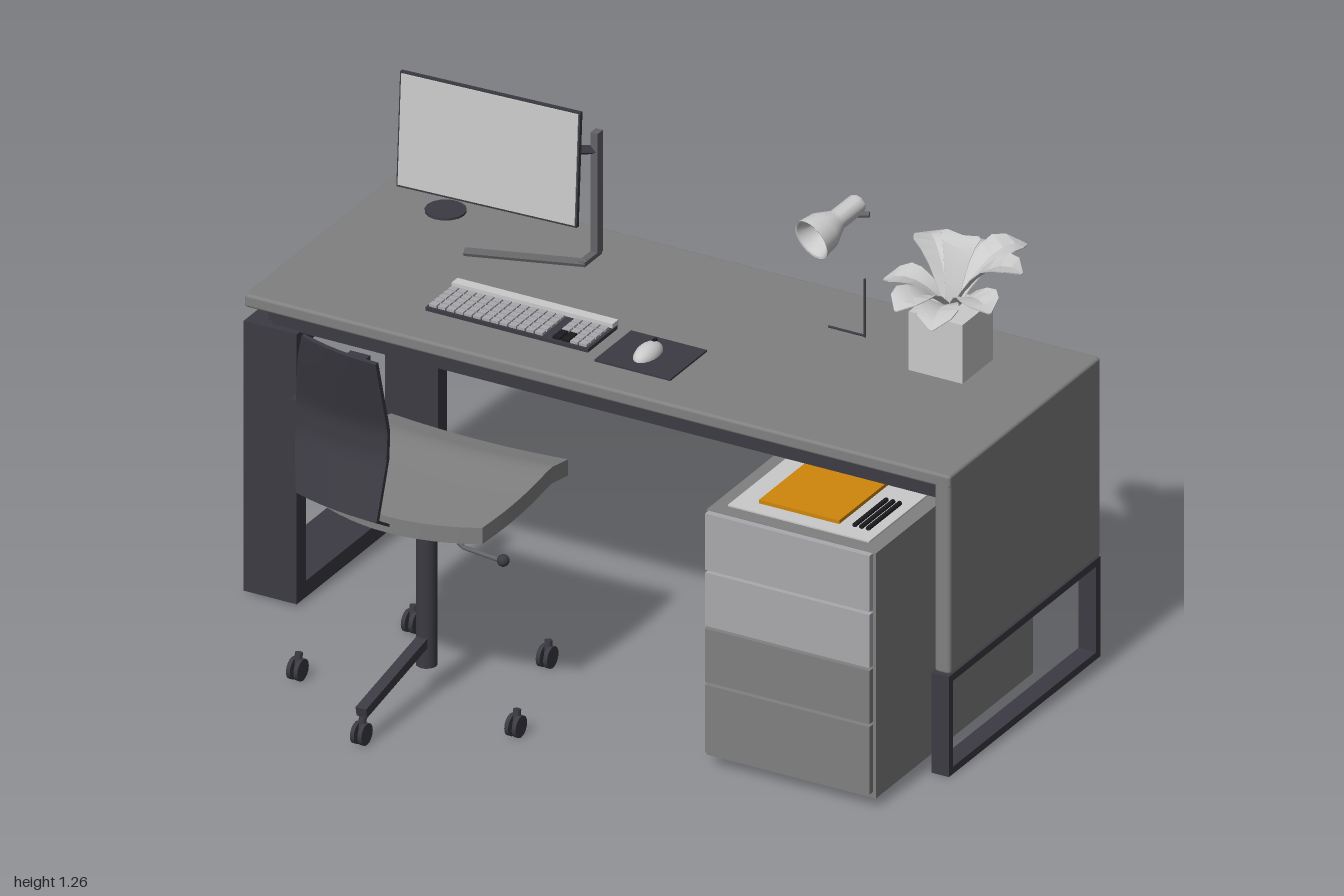
import * as THREE from 'three';
import { toCreasedNormals } from 'three/addons/utils/BufferGeometryUtils.js';
import { RoundedBoxGeometry } from 'three/addons/geometries/RoundedBoxGeometry.js';

const V = (x, y, z) => new THREE.Vector3(x, y, z);

export function createModel() {
  const root = new THREE.Group();
  const material = (name, color) =>
    Object.assign(new THREE.MeshStandardMaterial({ color, side: THREE.DoubleSide }), { name });
  const grey = material('mid grey', 0x808080);
  const dark = material('charcoal', 0x3c3b43);
  const light = material('light grey', 0xcacaca);
  const silver = material('drawer silver', 0xa9a8ac);
  const orange = material('folder orange', 0xcf860c);
  const black = material('black', 0x1c1c20);
  const steel = material('steel', 0x646468);

  const add = (name, geometry, mat) => {
    const mesh = new THREE.Mesh(geometry, mat);
    mesh.name = name;
    root.add(mesh);
    return mesh;
  };
  // Box from its minimum and maximum on each axis
  const box = (name, mat, x0, x1, y0, y1, z0, z1) => {
    const m = add(name, new THREE.BoxGeometry(x1 - x0, y1 - y0, z1 - z0), mat);
    m.position.set((x0 + x1) / 2, (y0 + y1) / 2, (z0 + z1) / 2);
    return m;
  };
  // Box bar or round rod between two points
  const aim = (m, a, b) => {
    m.position.copy(a).lerp(b, 0.5);
    m.quaternion.setFromUnitVectors(V(0, 1, 0), b.clone().sub(a).normalize());
    return m;
  };
  const bar = (name, mat, a, b, w, d) => aim(add(name, new THREE.BoxGeometry(w, a.distanceTo(b), d), mat), a, b);
  const rod = (name, mat, a, b, r0, r1 = r0) =>
    aim(add(name, new THREE.CylinderGeometry(r1, r0, a.distanceTo(b), 16), mat), a, b);
  // Rectangular ring lying in the z-y plane, extruded along x
  const ring = (name, x0, x1, y0, y1, z0, z1, t) => {
    const rect = (P, i) => new P().moveTo(-z0 - i, y0 + i).lineTo(-z1 + i, y0 + i)
      .lineTo(-z1 + i, y1 - i).lineTo(-z0 - i, y1 - i).closePath();
    const shape = rect(THREE.Shape, 0);
    shape.holes.push(rect(THREE.Path, t));
    const g = new THREE.ExtrudeGeometry(shape, { depth: x1 - x0, bevelEnabled: false });
    add(name, g.rotateY(Math.PI / 2).translate(x0, 0, 0), dark);
  };
  // Closed slab lofted from a surface rule and a thickness vector
  const slab = (name, mat, nu, nv, rule, off, crease = 0.7) => {
    const pos = [], idx = [], n = 2 * (nu + 1);
    for (let j = 0; j <= nv; j++) {
      for (let i = 0; i < n; i++) {
        const top = i <= nu;
        const p = rule((top ? i : n - 1 - i) / nu, j / nv);
        if (!top) p.add(off);
        pos.push(p.x, p.y, p.z);
        const a = j * n + i, b = j * n + (i + 1) % n;
        if (j < nv) idx.push(a, b, a + n, b, b + n, a + n);
      }
    }
    for (const e of [0, nv * n]) for (let i = 0; i < nu; i++) {
      const a = e + i, b = e + i + 1, c = e + n - 1 - i, d = e + n - 2 - i;
      if (e) idx.push(a, b, c, b, d, c); else idx.push(a, c, b, b, c, d);
    }
    const g = new THREE.BufferGeometry();
    g.setAttribute('position', new THREE.Float32BufferAttribute(pos, 3));
    g.setIndex(idx);
    return add(name, toCreasedNormals(g, crease), mat);
  };
  // Linear interpolation through [key, value] pairs
  const along = (pts, t) => {
    let i = 0;
    while (i < pts.length - 2 && t > pts[i + 1][0]) i++;
    const [a, b] = [pts[i], pts[i + 1]];
    return THREE.MathUtils.mapLinear(t, a[0], b[0], a[1], b[1]);
  };

  // Desk: top, waterfall side, rails and legs
  const top = add('deskTop', new RoundedBoxGeometry(2, 0.036, 0.75, 3, 0.008), grey);
  top.position.set(0, 0.812, -0.3);
  const side = add('deskSide', new RoundedBoxGeometry(0.045, 0.55, 0.75, 3, 0.01), grey);
  side.position.set(0.9775, 0.555, -0.3);
  for (const z of [-0.65, 0.02]) box('deskRail', dark, -0.93, 0.955, 0.752, 0.794, z, z + 0.035);
  box('crossRail', dark, -0.95, -0.88, 0.752, 0.794, -0.64, 0.04);
  ring('leftLeg', -1, -0.85, 0.01, 0.756, -0.672, 0.075, 0.045);
  ring('rightLeg', 0.95, 1, 0.003, 0.28, -0.672, 0.08, 0.02);
  rod('cableGrommet', dark, V(-0.79, 0.785, -0.56), V(-0.79, 0.836, -0.56), 0.052);

  // Drawer cabinet
  box('cabinetBase', grey, 0.47, 0.9, 0.015, 0.03, -0.47, 0.28);
  box('cabinetBody', grey, 0.445, 0.925, 0.028, 0.705, -0.47, 0.312);
  const fronts = [0.04, 0.235, 0.39, 0.545, 0.708];
  for (let i = 0; i < 4; i++)
    box('drawerFront', i < 2 ? grey : silver, 0.452, 0.917, fronts[i] + 0.004, fronts[i + 1] - 0.004, 0.312, 0.33);
  box('cabinetTray', light, 0.482, 0.882, 0.704, 0.709, -0.43, 0.27);
  box('folder', orange, 0.545, 0.772, 0.709, 0.719, -0.08, 0.225);
  for (let i = 0; i < 3; i++)
    rod('pen', black, V(0.812 + i * 0.019, 0.714, 0.06), V(0.812 + i * 0.019, 0.714, 0.22), 0.006);

  // Chair castors on a five-point circle, one spoke, column and lever
  const cx = -0.345, cz = 0.315;
  for (let i = 0; i < 5; i++) {
    const a = Math.PI / 2 + i * Math.PI * 0.4;
    const x = cx + 0.325 * Math.cos(a), z = cz + 0.325 * Math.sin(a);
    for (const s of [-1, 1])
      rod('castorWheel', dark, V(x + s * 0.005, 0.033, z), V(x + s * 0.016, 0.033, z), 0.029);
    rod('castorStem', dark, V(x, 0.03, z), V(x, 0.075, z - 0.008), 0.01);
  }
  bar('chairSpoke', dark, V(cx, 0.09, 0.64), V(cx, 0.155, cz), 0.03, 0.026);
  rod('chairColumn', dark, V(cx, 0.08, cz), V(cx, 0.44, cz), 0.027);
  rod('chairPiston', steel, V(cx, 0.43, cz), V(cx, 0.55, cz), 0.016);
  bar('seatBracket', dark, V(-0.54, 0.53, 0.32), V(-0.33, 0.455, 0.31), 0.02, 0.05);
  rod('lever', steel, V(-0.32, 0.475, 0.3), V(-0.25, 0.42, 0.3), 0.006);
  rod('lever', steel, V(-0.25, 0.42, 0.3), V(-0.14, 0.41, 0.3), 0.006);
  add('leverKnob', new THREE.SphereGeometry(0.016, 12, 8), dark).position.set(-0.137, 0.412, 0.3);

  // Seat cushion
  const seatY = [[0.04, 0.575], [0.14, 0.598], [0.28, 0.585], [0.4, 0.575], [0.5, 0.568]];
  slab('seat', grey, 12, 14, (u, v) => {
    const s = 2 * u - 1;
    const z = 0.04 + v * (0.46 - 0.04 * s * s);
    const w = 0.25 + 0.012 * Math.sin(v * Math.PI) - 0.03 * Math.max(0, v - 0.75) * 4 * (s < 0 ? 1 : 0.1);
    return V(-0.352 + s * w, along(seatY, z) + 0.01 * s * s, z);
  }, V(0, -0.045, 0), 1);

  // Half-width backrest with a curved lower lip
  const backZ = [[0, 0.48], [0.1, 0.565], [0.4, 0.515], [0.56, 0.51], [1, 0.57]];
  const backW = [[0, 0.245], [0.35, 0.28], [0.56, 0.285], [0.85, 0.258], [1, 0.235]];
  const backY = [[0, 0.528], [0.1, 0.58], [1, 1.02]];
  slab('backrest', dark, 6, 20, (u, v) =>
    V(cx - u * along(backW, v), along(backY, v), along(backZ, v) - 0.045 * u * u), V(0, 0, -0.014));

  // Armrest
  box('armPad', dark, -0.663, -0.607, 0.772, 0.786, 0.135, 0.435);
  bar('armSupport', dark, V(-0.635, 0.655, 0.335), V(-0.635, 0.775, 0.305), 0.022, 0.075);

  // Monitor with its stand
  const screen = new THREE.Group();
  screen.name = 'monitor';
  screen.position.set(-0.592, 1.11, -0.43);
  screen.rotation.set(-0.06, 0.05, 0);
  const shell = box('monitorShell', dark, -0.2485, 0.2485, -0.155, 0.155, -0.006, 0.006);
  const face = box('monitorFace', light, -0.244, 0.244, -0.149, 0.151, 0.006, 0.009);
  const rear = box('monitorRear', light, -0.246, 0.246, -0.152, 0.152, -0.009, -0.006);
  screen.add(shell, face, rear);
  root.add(screen);
  box('standPost', steel, -0.362, -0.342, 0.835, 1.17, -0.555, -0.528);
  bar('standArm', dark, V(-0.352, 1.12, -0.54), V(-0.43, 1.14, -0.445), 0.014, 0.02);
  bar('standFoot', steel, V(-0.345, 0.836, -0.475), V(-0.635, 0.836, -0.38), 0.012, 0.022);
  bar('standFoot', steel, V(-0.352, 0.836, -0.55), V(-0.352, 0.836, -0.465), 0.02, 0.012);

  // Keyboard, mouse pad and mouse
  box('keyboardBody', dark, -0.567, -0.107, 0.83, 0.84, -0.215, -0.068);
  box('keyboardLip', light, -0.565, -0.109, 0.835, 0.852, -0.224, -0.195);
  for (let r = 0; r < 5; r++) for (let c = 0; c < 18; c++) {
    if (c === 13) continue;
    const x = -0.561 + c * 0.025, z = -0.188 + r * 0.0235;
    box('key', c > 13 && c < 16 && r > 2 ? black : silver, x, x + 0.021, 0.84, 0.847, z, z + 0.019);
  }
  box('mousePad', dark, -0.07, 0.145, 0.829, 0.835, -0.218, -0.035);
  const mouse = add('mouse', new THREE.SphereGeometry(1, 20, 10, 0, Math.PI * 2, 0, Math.PI / 2), light);
  mouse.scale.set(0.03, 0.029, 0.055);
  mouse.position.set(0.03, 0.834, -0.127);
  box('mouseWheel', black, 0.026, 0.034, 0.85, 0.862, -0.168, -0.15);

  // Desk lamp: thin pole, foot and bell shade
  rod('lampPole', dark, V(0.443, 0.83, -0.48), V(0.443, 0.99, -0.48), 0.003);
  rod('lampFoot', dark, V(0.443, 0.833, -0.48), V(0.34, 0.833, -0.48), 0.003);
  const bell = [[0, 0.17], [0.022, 0.17], [0.027, 0.16], [0.027, 0.09], [0.035, 0.075], [0.05, 0.045], [0.056, 0], [0.051, 0.002], [0.03, 0.07], [0, 0.075]];
  const shade = add('lampShade', toCreasedNormals(
    new THREE.LatheGeometry(bell.map(([r, y]) => new THREE.Vector2(r, y)), 24), 0.6), light);
  shade.position.set(0.345, 1.115, -0.385);
  shade.quaternion.setFromUnitVectors(V(0, 1, 0), V(0.045, 0.045, -0.15).normalize());
  rod('lampJoint', steel, V(0.385, 1.14, -0.51), V(0.43, 1.145, -0.525), 0.007);

  // Plant: square pot and broad arching leaves
  box('pot', light, 0.628, 0.78, 0.833, 0.995, -0.525, -0.373);
  const base = V(0.704, 0.985, -0.45);
  const leaves = [[0.545, 1.09, -0.61], [0.81, 1.11, -0.64], [0.9, 1.13, -0.46], [0.53, 1.04, -0.42],
    [0.77, 1.04, -0.235], [0.66, 1.06, -0.25], [0.7, 1.15, -0.53], [0.86, 1.05, -0.37], [0.68, 1.08, -0.66]];
  const leafW = [[0, 0.015], [0.35, 0.036], [0.65, 0.055], [0.85, 0.042], [1, 0.004]];
  for (const [x, y, z] of leaves) {
    const tip = V(x, y, z);
    const mid = base.clone().lerp(tip, 0.55).setY(y + 0.05);
    const spine = new THREE.QuadraticBezierCurve3(base, mid, tip);
    const across = V(base.z - z, 0, x - base.x).normalize();
    slab('leaf', light, 2, 6, (u, v) => {
      const s = 2 * u - 1;
      const p = spine.getPoint(v).addScaledVector(across, s * along(leafW, v));
      p.y += 0.014 * Math.abs(s) * Math.sin(v * Math.PI);
      return p;
    }, V(0, -0.003, 0), 0.3);
  }
  return root;
}
